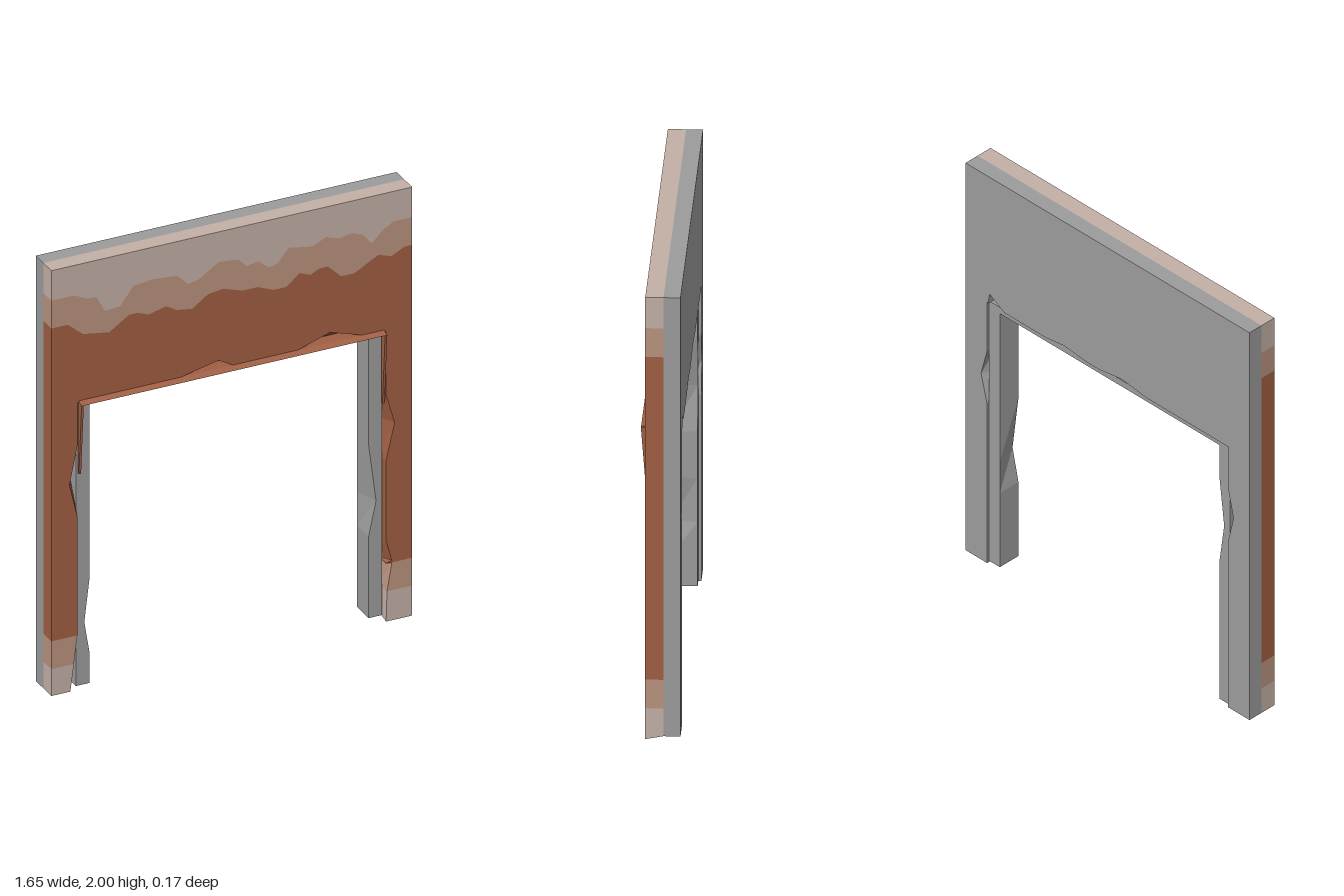
import * as THREE from 'three';

const W = 0.825, H = 2;                    // wall half width and height
const Z0 = -0.085, Z1 = -0.015, Z2 = 0.06; // stone back, plaster back, plaster front

const mat = (name, color) => Object.assign(new THREE.MeshStandardMaterial({ color }), { name });

// Extrudes an outline between two depths. Points are [x, y, face, straightX, straightY]:
// a chip only cuts the given face ('front' / 'back'); the other face stays straight.
function chippedSlab(points, zBack, zFront) {
  const shape = new THREE.Shape(points.map(p => new THREE.Vector2(p[0], p[1])));
  const geo = new THREE.ExtrudeGeometry(shape, { depth: zFront - zBack, bevelEnabled: false });
  geo.translate(0, 0, zBack);
  const pos = geo.attributes.position, mid = (zBack + zFront) / 2;
  const chips = points.filter(p => p[2]);
  for (let i = 0; i < pos.count; i++) {
    const face = pos.getZ(i) > mid ? 'front' : 'back';
    const c = chips.find(p => Math.hypot(p[0] - pos.getX(i), p[1] - pos.getY(i)) < 1e-4);
    if (c && c[2] !== face) pos.setXY(i, c[3], c[4]);
  }
  geo.computeVertexNormals();
  return geo;
}

// Doorway outline: chips are listed up the -x jamb, along the lintel, down the +x jamb.
// Each chip is [start, tip, end, depth, face].
function doorway({ halfWidth: h, top: t, bottom: b, outer, crown, left = [], lintel = [], right = [] }) {
  const jamb = (s, list) => list.flatMap(([a, m, e, d, face]) =>
    [[s * h, a], [s * (h + d), m, face, s * h, m], [s * h, e]]);
  const over = lintel.flatMap(([a, m, e, d, face]) =>
    [[a, t], [m, t + d, face, m, t], [e, t]]);
  return [[-outer, b], [-h, b], ...jamb(-1, left), [-h, t], ...over, [h, t],
    ...jamb(1, right), [h, b], [outer, b], ...crown];
}

// Wedge of plaster: a (z, y) profile swept along x
function wedge(profile, width) {
  const geo = new THREE.ExtrudeGeometry(
    new THREE.Shape(profile.map(p => new THREE.Vector2(...p))), { depth: width, bevelEnabled: false });
  geo.translate(0, 0, -width / 2);
  geo.rotateY(-Math.PI / 2);
  return geo;
}

export function createModel() {
  const group = new THREE.Group();
  const clay = mat('clay plaster', 0xa05e42);
  const faded = mat('faded plaster', 0xb9937e);
  const pale = mat('pale plaster', 0xc3b0a6);
  const stone = mat('grey stone', 0x9c9c9c);
  const add = (name, geo, material) => {
    const mesh = new THREE.Mesh(geo, material);
    mesh.name = name;
    group.add(mesh);
    return mesh;
  };

  // Wavy borders between the plaster bands, from -x to +x
  const upper = [[-W, 1.86], [-0.72, 1.86], [-0.66, 1.83], [-0.62, 1.83], [-0.58, 1.755], [-0.51, 1.76],
    [-0.45, 1.84], [-0.36, 1.85], [-0.25, 1.84], [-0.2, 1.79], [-0.15, 1.8], [-0.06, 1.86], [0.03, 1.85],
    [0.07, 1.81], [0.12, 1.82], [0.17, 1.78], [0.21, 1.79], [0.26, 1.85], [0.37, 1.83], [0.43, 1.86],
    [0.49, 1.84], [0.55, 1.85], [0.6, 1.83], [0.64, 1.78], [0.69, 1.83], [0.74, 1.86], [W, 1.86]];
  const lower = [[-W, 1.73], [-0.75, 1.73], [-0.68, 1.67], [-0.56, 1.65], [-0.47, 1.71], [-0.43, 1.71],
    [-0.38, 1.69], [-0.3, 1.71], [-0.25, 1.68], [-0.18, 1.67], [-0.11, 1.72], [-0.04, 1.73], [0.05, 1.7],
    [0.12, 1.7], [0.19, 1.67], [0.25, 1.67], [0.31, 1.72], [0.36, 1.7], [0.4, 1.72], [0.44, 1.72],
    [0.5, 1.66], [0.56, 1.66], [0.67, 1.72], [0.73, 1.7], [0.79, 1.73], [W, 1.73]];
  const back = line => [...line].reverse();

  // Plaster above the doorway
  add('palePlasterTop', chippedSlab([...upper, [W, H], [-W, H]], Z1, Z2), pale);
  add('fadedPlasterTop', chippedSlab([...lower, ...back(upper)], Z1, Z2), faded);

  // Main plaster with chipped doorway
  const P = 0.705;
  add('clayPlaster', chippedSlab(doorway({
    halfWidth: P, top: 1.355, bottom: 0.27, outer: W, crown: back(lower),
    left: [[0.82, 0.98, 1.16, 0.037, 'front']],
    lintel: [[-0.27, -0.06, 0.02, 0.045, 'front'], [0.28, 0.45, 0.62, 0.055, 'front']],
    right: [[1.06, 0.92, 0.75, 0.04, 'front'], [0.38, 0.28, 0.272, 0.027, 'front']],
  }), Z1, Z2), clay);

  // Weathered plaster at the feet; inner edges are worn on the front
  const foot = (s, y0, y1, x0, x1) => chippedSlab([
    [s * W, y0, 'front', s * W, Math.max(y0, 0.015)], [s * x0, y0, 'front', s * P, Math.max(y0, 0.015)],
    [s * x1, y1, 'front', s * P, y1], [s * W, y1]], Z1, Z2);
  add('fadedPlasterRightFoot', foot(-1, 0.14, 0.27, 0.722, 0.706), faded);
  add('palePlasterRightFoot', foot(-1, 0.015, 0.14, 0.738, 0.722), pale);
  add('fadedPlasterLeftFoot', foot(1, 0.14, 0.27, 0.71, 0.732), faded);
  add('palePlasterLeftFoot', foot(1, 0, 0.14, 0.706, 0.71), pale);

  // Plaster lip curling outward at the top of the doorway
  const lip = wedge([[0, 1.352], [0.085, 1.35], [Z2, 1.363], [0, 1.363]], 1.4);
  const pos = lip.attributes.position;
  for (let i = 0; i < pos.count; i++) if (pos.getZ(i) > 0.08) pos.setX(i, pos.getX(i) * 0.985);
  lip.computeVertexNormals();
  add('plasterLip', lip, clay);
  for (const s of [-1, 1]) {
    add('plasterLipSide', wedge([[0.05, 1.02], [Z2, 1.02], [0.085, 1.35], [0.05, 1.36]], 0.01), clay)
      .position.x = s * 0.694;
  }

  // Stone back wall, chipped on its rear face
  add('stoneWall', chippedSlab(doorway({
    halfWidth: 0.7, top: 1.35, bottom: 0.015, outer: W, crown: [[W, H], [-W, H]],
    left: [[0.86, 1.0, 1.14, 0.032, 'back']],
    lintel: [[-0.23, -0.08, 0.05, 0.02, 'back'], [0.12, 0.25, 0.36, 0.015, 'back'],
      [0.6, 0.685, 0.695, 0.05, 'back']],
    right: [[1.1, 0.97, 0.83, 0.035, 'back']],
  }), Z0, Z1), stone);

  // Stone door frame inside the opening, slightly recessed on both faces
  add('stoneFrame', chippedSlab(doorway({
    halfWidth: 0.638, top: 1.32, bottom: 0.02, outer: 0.7, crown: [[0.7, 1.352], [-0.7, 1.352]],
    left: [[0.16, 0.31, 0.51, 0.024, 'front'], [0.72, 0.92, 1.16, 0.028, 'back']],
    lintel: [[-0.33, -0.16, -0.05, 0.02, 'front']],
    right: [[0.83, 0.56, 0.4, 0.034, 'front']],
  }), -0.073, 0.035), stone);

  return group;
}
